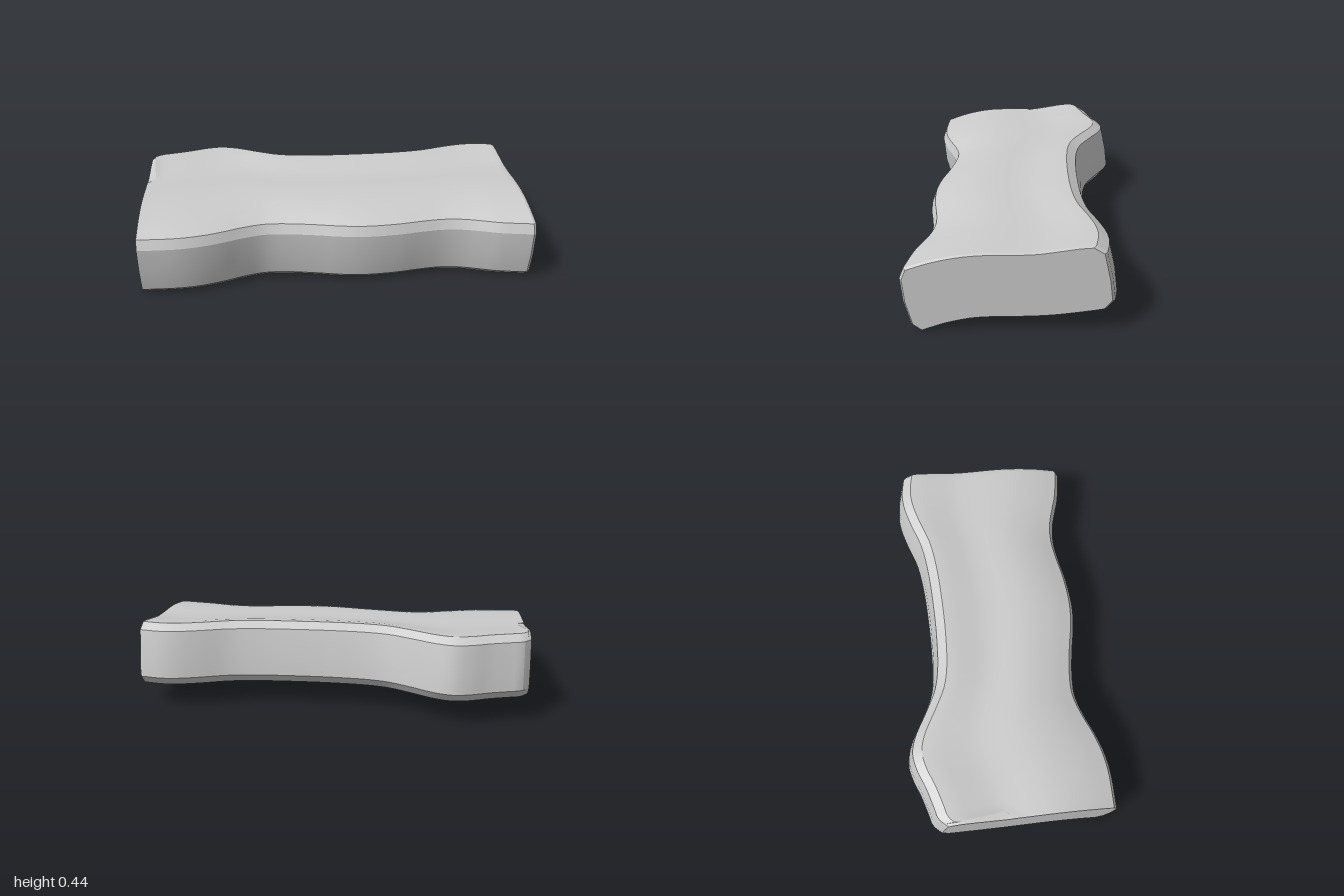
import * as THREE from 'three';
import { toCreasedNormals } from 'three/addons/utils/BufferGeometryUtils.js';

// Smooth curve through [position, value] pairs
function curve(pairs) {
  const c = new THREE.CubicInterpolant(pairs.map(p => p[0]), pairs.map(p => p[1]), 1);
  return x => c.evaluate(x)[0];
}

// Wavy outlines of the long edges, as z along x
const frontZ = curve([[-1, .52], [-.8, .52], [-.7, .505], [-.6, .475], [-.5, .435], [-.4, .405], [-.35, .4],
  [-.25, .407], [-.1, .433], [0, .455], [.13, .47], [.3, .46], [.45, .435], [.55, .426], [.65, .437],
  [.75, .467], [.82, .49], [.9, .506], [1, .522]]);
const backZ = curve([[-1, -.385], [-.96, -.428], [-.9, -.447], [-.8, -.477], [-.7, -.515], [-.62, -.529],
  [-.54, -.51], [-.4, -.435], [-.3, -.385], [-.2, -.36], [0, -.345], [.2, -.345], [.4, -.355],
  [.55, -.377], [.7, -.425], [.8, -.45], [.88, -.456], [1, -.437]]);

// Heights of the upper and lower faces, from the front edge (0) to the back edge (1)
const topY = curve([[0, .32], [.12, .355], [.24, .38], [.36, .395], [.48, .4], [.6, .401],
  [.71, .406], [.82, .42], [.94, .436], [1, .44]]);
const bottomY = curve([[0, 0], [.11, .035], [.17, .05], [.28, .07], [.4, .078], [.52, .08],
  [.64, .084], [.75, .092], [1, .123]]);

// Bevelled long edges: [distance in from the outline, height]
const backEdge = [[.095, .44], [.045, .41], [.013, .27], [0, .17], [.035, .125]];
const frontEdge = [[.08, 0], [.04, .03], [.01, .15], [0, .27], [.02, .32]];
const STEPS = 26;

// Closed cross-section at x, as [z, y]
function section(x) {
  const f = frontZ(x), b = backZ(x), ring = [];
  const lerp = THREE.MathUtils.lerp;
  for (let i = 0; i < STEPS; i++) {
    const t = i / STEPS;
    ring.push([lerp(f - .02, b + .095, t), topY(t)]);
  }
  backEdge.forEach(([d, y]) => ring.push([b + d, y]));
  for (let i = STEPS - 1; i > 0; i--) {
    const t = i / STEPS;
    ring.push([lerp(f - .08, b + .035, t), bottomY(t)]);
  }
  frontEdge.slice(0, -1).forEach(([d, y]) => ring.push([f - d, y]));
  return ring;
}

// Small chip along the upper edge of the right end
function chip(x, y, z) {
  if (x > -.88 || y < .39 || z > -.03 || z < -.3) return 0;
  const depth = THREE.MathUtils.mapLinear(z, -.3, -.03, .012, .045);
  return depth * (1 - (x + 1) / .12);
}

function slabGeometry() {
  const rings = [];
  const addRing = (x, scale = 1, chipped = true) => rings.push(section(x).map(([z, y]) => {
    const mid = .24 - .13 * z;
    return [x + (chipped ? chip(x, y, z) : 0), mid + (y - mid) * scale, z * scale];
  }));

  // End caps are slightly inset rings
  addRing(-1, .96, false);
  for (const x of [-1, -.985, -.965, -.94]) addRing(x);
  const n = 76;
  for (let i = 0; i <= n; i++) addRing(-.915 + 1.9 * i / n);
  addRing(1, .975);

  const count = rings[0].length, index = [];
  for (let i = 0; i < rings.length - 1; i++) {
    for (let j = 0; j < count; j++) {
      const k = (j + 1) % count;
      const a = i * count + j, d = i * count + k;
      index.push(a, a + count, d + count, a, d + count, d);
    }
  }
  const last = (rings.length - 1) * count;
  for (const [ring, start, flip] of [[rings[0], 0, false], [rings[rings.length - 1], last, true]]) {
    const outline = ring.map(p => new THREE.Vector2(p[2], p[1]));
    for (const [a, b, c] of THREE.ShapeUtils.triangulateShape(outline, [])) {
      if (flip) index.push(start + a, start + c, start + b);
      else index.push(start + a, start + b, start + c);
    }
  }

  const geometry = new THREE.BufferGeometry();
  geometry.setAttribute('position', new THREE.Float32BufferAttribute(rings.flat(2), 3));
  geometry.setIndex(index);
  return toCreasedNormals(geometry, .3);
}

export function createModel() {
  const group = new THREE.Group();
  group.name = 'contouredSlab';
  const slab = new THREE.Mesh(slabGeometry(), new THREE.MeshStandardMaterial({ color: 0xcccccc }));
  slab.name = 'slab';
  group.add(slab);
  return group;
}
